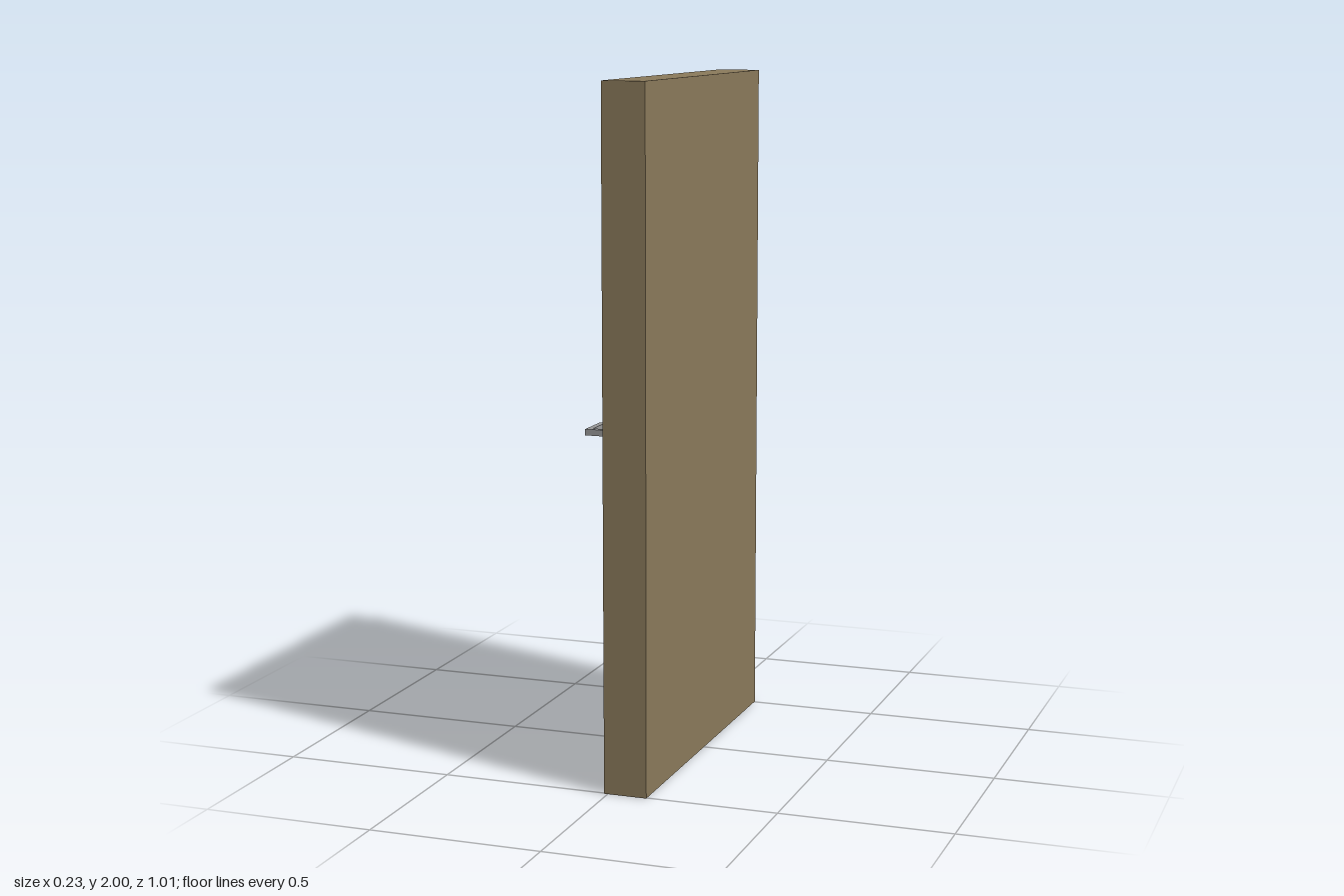
import * as THREE from 'three';

export function createModel() {
  const door = new THREE.Group();
  door.name = 'door';
  const wood = new THREE.MeshStandardMaterial({ color: 0x8b7a5b });
  const metal = new THREE.MeshStandardMaterial({ color: 0x999999 });

  const add = (parent, name, geometry, material) => {
    const mesh = new THREE.Mesh(geometry, material);
    mesh.name = name;
    parent.add(mesh);
    return mesh;
  };

  // Box given by its minimum and maximum corners
  const box = (parent, name, material, [x0, y0, z0], [x1, y1, z1]) => {
    const mesh = add(parent, name, new THREE.BoxGeometry(x1 - x0, y1 - y0, z1 - z0), material);
    mesh.position.set((x0 + x1) / 2, (y0 + y1) / 2, (z0 + z1) / 2);
    return mesh;
  };

  const inner = -0.011, panelFace = 0.012, outer = 0.116; // x of the door's faces
  const half = 0.505, rim = 0.035;

  // Door slab behind the raised rim
  box(door, 'doorPanel', wood, [panelFace, 0, -half], [outer, 2, half]);

  // Raised rim around the inner face: a rectangle with a hole, extruded along x
  const rectangle = (Type, w, y0, y1) => {
    const path = new Type();
    path.moveTo(-w, y0).lineTo(w, y0).lineTo(w, y1).lineTo(-w, y1).closePath();
    return path;
  };
  const rimShape = rectangle(THREE.Shape, half, 0, 2);
  rimShape.holes.push(rectangle(THREE.Path, half - rim, rim, 2 - rim));
  const rimGeometry = new THREE.ExtrudeGeometry(rimShape, { depth: panelFace - inner, bevelEnabled: false });
  rimGeometry.rotateY(Math.PI / 2);
  add(door, 'doorRim', rimGeometry, wood).position.x = inner;

  // Handle
  const handle = new THREE.Group();
  handle.name = 'handle';
  door.add(handle);
  box(handle, 'backPlate', metal, [-0.047, 0.866, 0.326], [-0.037, 1.15, 0.39]);

  // Tapered raised centre of the plate, extruded upwards
  const boss = new THREE.Shape();
  boss.moveTo(-0.047, -0.39).lineTo(-0.047, -0.326).lineTo(-0.053, -0.348).lineTo(-0.053, -0.368).closePath();
  const bossGeometry = new THREE.ExtrudeGeometry(boss, { depth: 0.15, bevelEnabled: false });
  bossGeometry.rotateX(-Math.PI / 2);
  add(handle, 'plateBoss', bossGeometry, metal).position.y = 0.932;

  // Stem and lever
  box(handle, 'stem', metal, [-0.1, 1.0, 0.349], [-0.05, 1.018, 0.366]);
  box(handle, 'lever', metal, [-0.117, 1.0, 0.249], [-0.099, 1.018, 0.366]);

  return door;
}
